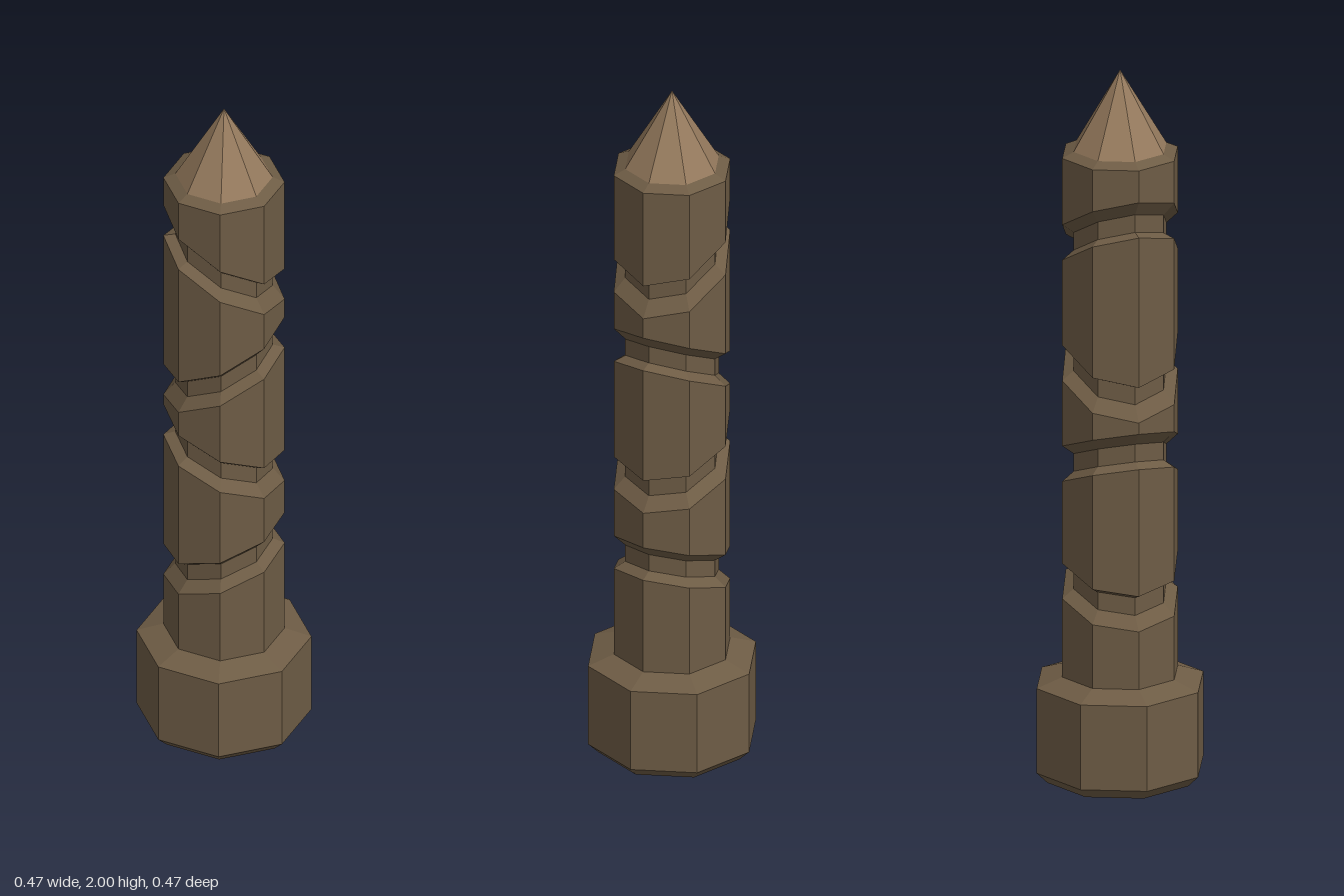
import * as THREE from 'three';

const SIDES = 8;
const SHAFT_R = 0.163;
const GROOVE_R = 0.131;

// Eight-sided turned solid; each ring is [radius, height, tilt], tilt being the rise per unit x
function turned(name, rings, material) {
  const points = rings.map(([r, y]) => new THREE.Vector2(r, y));
  let geometry = new THREE.LatheGeometry(points, SIDES);
  const pos = geometry.attributes.position;
  for (let i = 0; i < pos.count; i++) {
    const tilt = rings[i % rings.length][2] || 0;
    pos.setY(i, pos.getY(i) + tilt * pos.getX(i));
  }
  geometry = geometry.toNonIndexed();
  geometry.computeVertexNormals();
  const mesh = new THREE.Mesh(geometry, material);
  mesh.name = name;
  return mesh;
}

// Four rings that cut one slanted groove into the shaft
function groove(y, tilt) {
  return [
    [SHAFT_R, y - 0.05, tilt],
    [GROOVE_R, y - 0.025, tilt],
    [GROOVE_R, y + 0.025, tilt],
    [SHAFT_R, y + 0.05, tilt],
  ];
}

export function createModel() {
  const group = new THREE.Group();
  group.name = 'carvedStake';

  const darkWood = new THREE.MeshStandardMaterial({ color: 0x6e5c45, flatShading: true });
  darkWood.name = 'dark wood';
  const paleWood = new THREE.MeshStandardMaterial({ color: 0x957a5d, flatShading: true });
  paleWood.name = 'pale wood';

  // Bevelled foot block
  group.add(turned('base', [
    [0, 0], [0.205, 0], [0.235, 0.03], [0.235, 0.27], [SHAFT_R, 0.295],
  ], darkWood));

  // Shaft with four grooves slanting alternately
  group.add(turned('shaft', [
    [SHAFT_R, 0.295],
    ...groove(0.567, 0.36),
    ...groove(0.9, -0.42),
    ...groove(1.185, 0.52),
    ...groove(1.527, -0.6),
    [SHAFT_R, 1.765],
    [0.131, 1.78],
  ], darkWood));

  // Sharpened point
  group.add(turned('tip', [[0.131, 1.78], [0, 2]], paleWood));

  return group;
}
